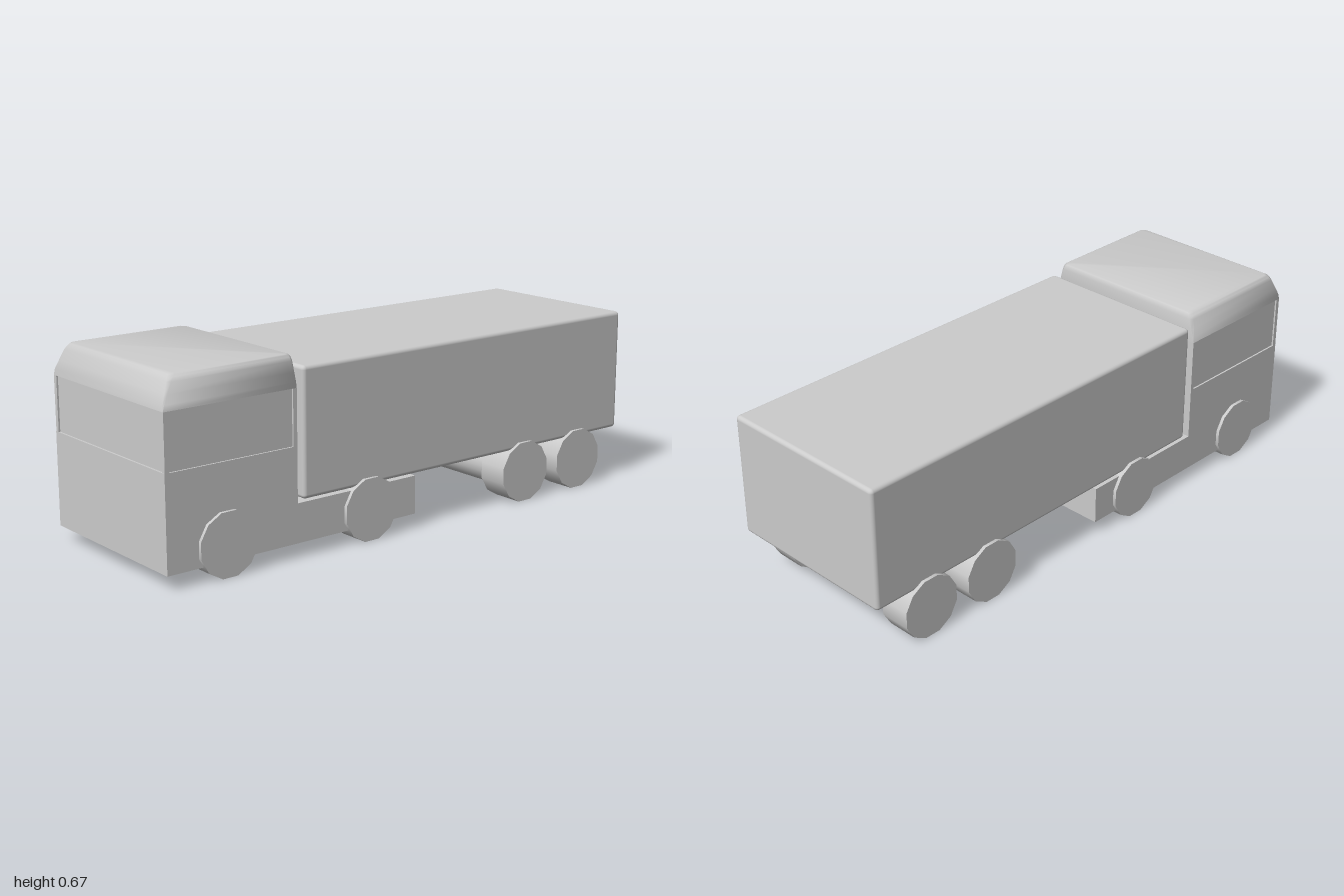
import * as THREE from 'three';
import { RoundedBoxGeometry } from 'three/addons/geometries/RoundedBoxGeometry.js';
import { toCreasedNormals } from 'three/addons/utils/BufferGeometryUtils.js';

const material = new THREE.MeshStandardMaterial({ color: 0xcccccc });

function add(parent, name, geometry, x = 0, y = 0, z = 0) {
  const mesh = new THREE.Mesh(geometry, material);
  mesh.name = name;
  mesh.position.set(x, y, z);
  parent.add(mesh);
  return mesh;
}

// Box given by its limits on each axis
function block(parent, name, [x0, x1], [y0, y1], [z0, z1]) {
  return add(parent, name, new THREE.BoxGeometry(x1 - x0, y1 - y0, z1 - z0),
    (x0 + x1) / 2, (y0 + y1) / 2, (z0 + z1) / 2);
}

// Loft through levels of [y, half width, front z, back z, corner cut]
function loft(levels) {
  const positions = [], index = [], n = 8;
  for (const [y, w, f, b, c] of levels) {
    const ring = [[-w + c, f], [w - c, f], [w, f - c], [w, b + c],
      [w - c, b], [-w + c, b], [-w, b + c], [-w, f - c]];
    for (const [x, z] of ring) positions.push(x, y, z);
  }
  for (let k = 0; k < levels.length - 1; k++) {
    for (let i = 0; i < n; i++) {
      const a = k * n + i, b = k * n + (i + 1) % n;
      index.push(a, b, b + n, a, b + n, a + n);
    }
  }
  const top = (levels.length - 1) * n;
  for (let i = 1; i < n - 1; i++) {
    index.push(0, i + 1, i, top, top + i, top + i + 1);
  }
  const geometry = new THREE.BufferGeometry();
  geometry.setAttribute('position', new THREE.Float32BufferAttribute(positions, 3));
  geometry.setIndex(index);
  return toCreasedNormals(geometry, Math.PI / 3.5);
}

function createCab() {
  const cab = new THREE.Group();
  cab.name = 'cab';
  block(cab, 'lowerCab', [-0.325, 0.325], [0.05, 0.375], [0.5, 1]);

  // Recessed window band with posts at its corners
  block(cab, 'windows', [-0.319, 0.319], [0.375, 0.565], [0.5, 0.993]);
  for (const side of [-1, 1]) {
    for (const z of [0.5, 0.984]) {
      const post = block(cab, 'windowPost', [0.31, 0.325], [0.375, 0.565], [z, z + 0.015]);
      post.position.x *= side;
    }
  }

  // Tapered roof with softened upper edges
  add(cab, 'roof', loft([
    [0.565, 0.325, 1, 0.5, 0.001],
    [0.585, 0.324, 0.997, 0.5, 0.003],
    [0.615, 0.319, 0.985, 0.5, 0.007],
    [0.65, 0.312, 0.97, 0.5, 0.011],
    [0.662, 0.308, 0.963, 0.502, 0.013],
    [0.669, 0.303, 0.956, 0.505, 0.013],
    [0.672, 0.296, 0.948, 0.511, 0.012],
  ]));
  return cab;
}

// A pair of twelve-sided wheels joined by a thick axle
function createAxle(z) {
  const group = new THREE.Group();
  group.name = 'wheelPair';
  group.position.set(0, 0.108, z);
  const radius = 0.108 / Math.cos(Math.PI / 12);
  const wheel = new THREE.CylinderGeometry(radius, radius, 0.112, 12, 1, false, Math.PI / 12);
  wheel.rotateZ(Math.PI / 2);
  for (const side of [-1, 1]) add(group, 'wheel', wheel, side * 0.281);
  const axle = new THREE.CylinderGeometry(0.075, 0.075, 0.46, 24);
  axle.rotateZ(Math.PI / 2);
  add(group, 'axle', axle);
  return group;
}

export function createModel() {
  const truck = new THREE.Group();
  truck.name = 'truck';
  truck.add(createCab());
  block(truck, 'chassis', [-0.325, 0.325], [0.05, 0.185], [0, 0.5]);
  add(truck, 'trailer', new RoundedBoxGeometry(0.65, 0.44, 1.475, 3, 0.014), 0, 0.411, -0.2625);
  for (const z of [0.775, 0.2, -0.515, -0.785]) truck.add(createAxle(z));
  return truck;
}
